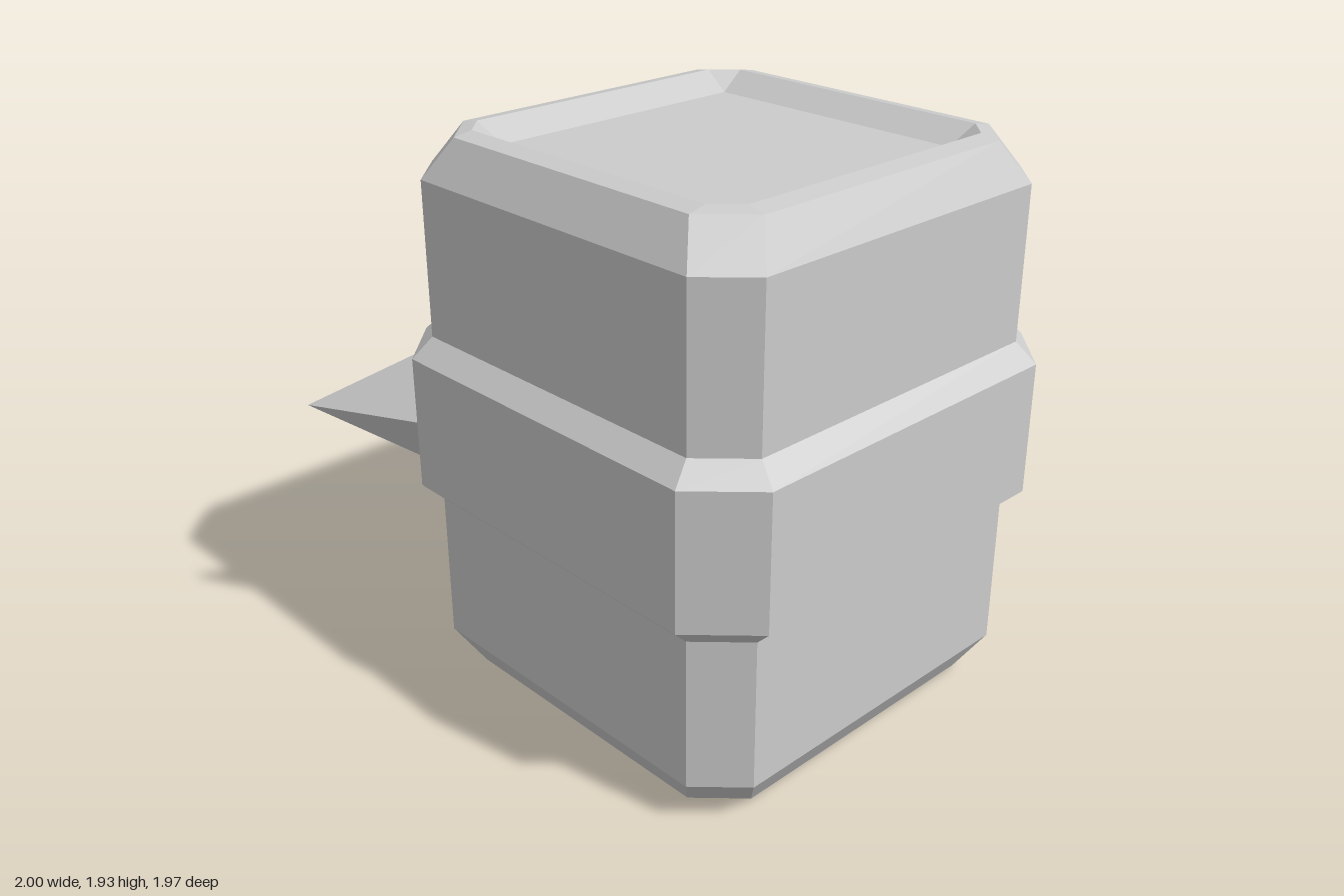
import * as THREE from 'three';

const material = new THREE.MeshStandardMaterial({ color: 0xcccccc, flatShading: true });

// Rectangle with cut corners, counter-clockwise from above
function ring([y, hx, hz, cut]) {
  const fx = hx - cut, fz = hz - cut;
  return [
    [hx, fz], [hx, -fz], [fx, -hz], [-fx, -hz],
    [-hx, -fz], [-hx, fz], [-fx, hz], [fx, hz],
  ].map(([x, z]) => new THREE.Vector3(x, y, z));
}

// Closed faceted solid through a stack of rings
function loft(sections) {
  const rings = sections.map(ring);
  const pos = [];
  const tri = (a, b, c) => {
    const area = b.clone().sub(a).cross(c.clone().sub(a)).length();
    if (area > 1e-8) for (const p of [a, b, c]) pos.push(p.x, p.y, p.z);
  };
  for (let i = 0; i < rings.length - 1; i++) {
    const lo = rings[i], hi = rings[i + 1];
    for (let j = 0; j < 8; j++) {
      const k = (j + 1) % 8;
      tri(lo[j], lo[k], hi[k]);
      tri(lo[j], hi[k], hi[j]);
    }
  }
  const first = rings[0], last = rings[rings.length - 1];
  for (let j = 1; j < 7; j++) {
    tri(first[0], first[j + 1], first[j]);
    tri(last[0], last[j], last[j + 1]);
  }
  const geo = new THREE.BufferGeometry();
  geo.setAttribute('position', new THREE.Float32BufferAttribute(pos, 3));
  geo.computeVertexNormals();
  return geo;
}

function add(parent, name, geometry) {
  const mesh = new THREE.Mesh(geometry, material);
  mesh.name = name;
  parent.add(mesh);
  return mesh;
}

export function createModel() {
  const model = new THREE.Group();
  model.name = 'spikedCanister';
  const cx = 0.197, height = 1.93, midY = height / 2;

  // Body with raised middle band; the lower half mirrors the upper one
  const upper = [
    [1.195, 0.802, 0.802, 0.187],  // band edge
    [1.262, 0.735, 0.735, 0.145],  // band meets body
    [1.785, 0.735, 0.735, 0.145],  // shoulder
    [1.918, 0.655, 0.655, 0.14],   // bevel
    [1.93, 0.59, 0.59, 0.08],      // rim
    [1.87, 0.49, 0.49, 0],         // recessed floor
  ];
  const lower = upper.map(([y, ...rest]) => [height - y, ...rest]).reverse();
  add(model, 'body', loft([...lower, ...upper])).position.x = cx;

  // Recessed panel on the side, raised towards -x
  const panel = add(model, 'sidePanel', loft([
    [-0.03, 0.2, 0.53, 0.067],
    [0.03, 0.2, 0.53, 0.067],
    [0.09, 0.168, 0.49, 0.06],
    [0.09, 0.135, 0.46, 0.05],
    [0.035, 0.115, 0.44, 0.04],
  ]));
  panel.position.set(-0.535, 1.523, 0);
  panel.rotation.z = Math.PI / 2;

  // Four-sided spikes: two on the side of the band, one on each cut corner
  function spike(name, x, z, angle, width) {
    const geo = new THREE.ConeGeometry(0.2, 0.395, 4);
    geo.translate(0, 0.1975, 0);
    geo.scale(1, 1, width / 0.2);
    const mesh = add(model, name, geo);
    mesh.position.set(x, midY, z);
    mesh.rotation.set(0, angle, Math.PI / 2, 'YXZ');
  }
  for (const s of [1, -1]) {
    spike('sideSpike', -0.605, s * 0.275, 0, 0.2);
    spike('cornerSpike', -0.511, s * 0.708, s * Math.PI / 4, 0.128);
  }
  return model;
}
